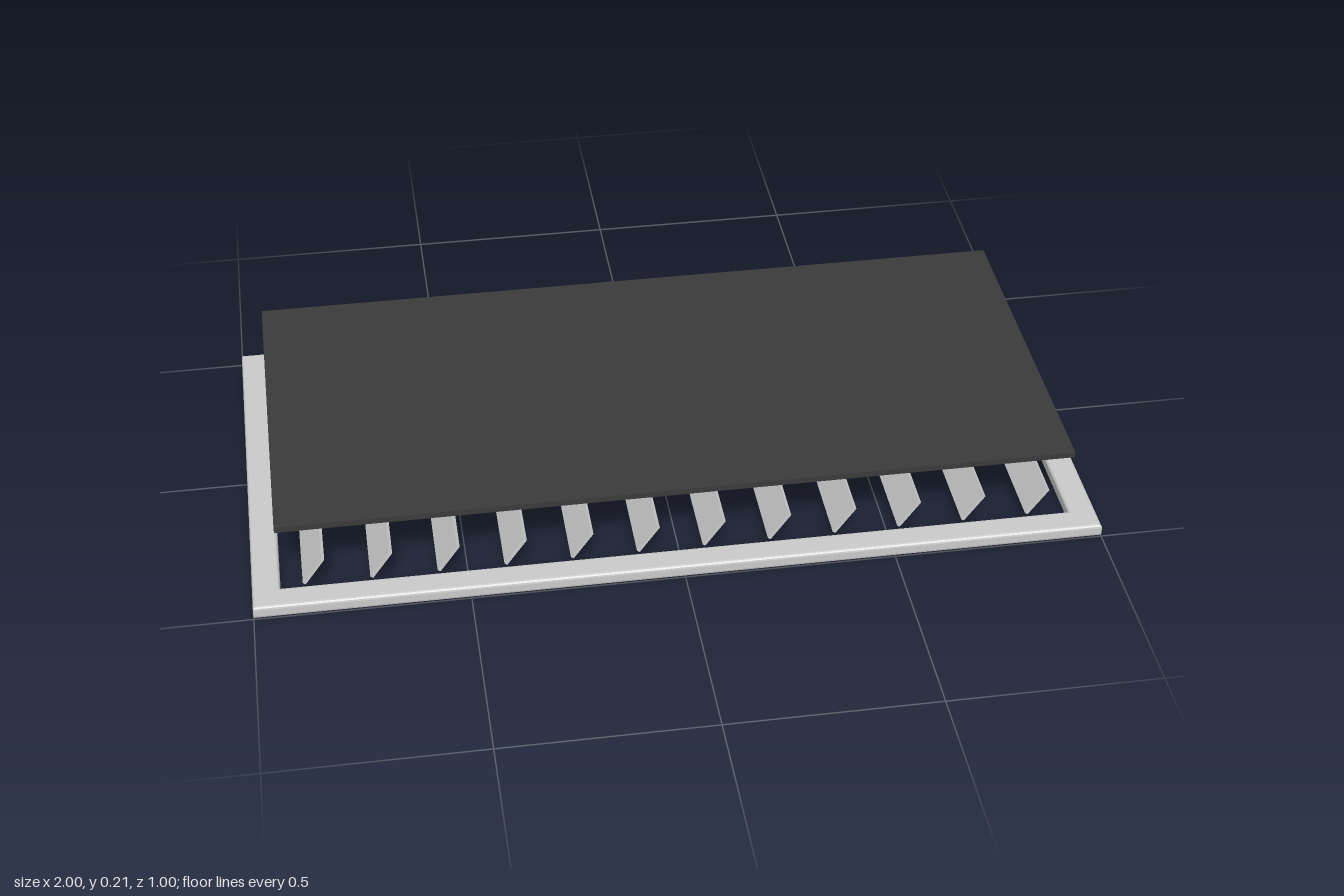
import * as THREE from 'three';

const grey = new THREE.MeshStandardMaterial({ color: 0xcccccc });
const dark = new THREE.MeshStandardMaterial({ color: 0x3b3b3b });

// Adds the corners of a centred rectangle to a path
function rectangle(path, halfX, halfZ) {
  path.moveTo(-halfX, -halfZ);
  path.lineTo(halfX, -halfZ);
  path.lineTo(halfX, halfZ);
  path.lineTo(-halfX, halfZ);
  path.closePath();
  return path;
}

function addMesh(parent, name, geometry, material) {
  const mesh = new THREE.Mesh(geometry, material);
  mesh.name = name;
  parent.add(mesh);
  return mesh;
}

export function createModel() {
  const model = new THREE.Group();
  model.name = 'louvredPanel';

  // Flat rectangular frame with rounded edges, open in the middle
  const bevel = 0.008;
  const height = 0.033;
  const barWidth = 0.065;
  const outline = rectangle(new THREE.Shape(), 1 - bevel, 0.5 - bevel);
  outline.holes.push(rectangle(new THREE.Path(), 1 - barWidth + bevel, 0.5 - barWidth + bevel));
  const frameGeometry = new THREE.ExtrudeGeometry(outline, {
    depth: height - 2 * bevel,
    bevelThickness: bevel,
    bevelSize: bevel,
    bevelSegments: 3,
  });
  frameGeometry.translate(0, 0, bevel);
  frameGeometry.rotateX(-Math.PI / 2);
  addMesh(model, 'frame', frameGeometry, grey);

  // Row of tilted slats, upper edges leaning to +x
  const slats = new THREE.Group();
  slats.name = 'slats';
  model.add(slats);
  const count = 12;
  const slatGeometry = new THREE.BoxGeometry(0.083, 0.008, 0.866);
  for (let i = 0; i < count; i++) {
    const slat = addMesh(slats, `slat${i + 1}`, slatGeometry, grey);
    slat.position.set((i - (count - 1) / 2) * 0.1556, 0.069, 0);
    slat.rotation.z = THREE.MathUtils.degToRad(55);
  }

  // Dark cover sheet held above the slats
  const cover = addMesh(model, 'coverSheet', new THREE.BoxGeometry(1.87, 0.015, 0.868), dark);
  cover.position.y = 0.202;

  return model;
}
